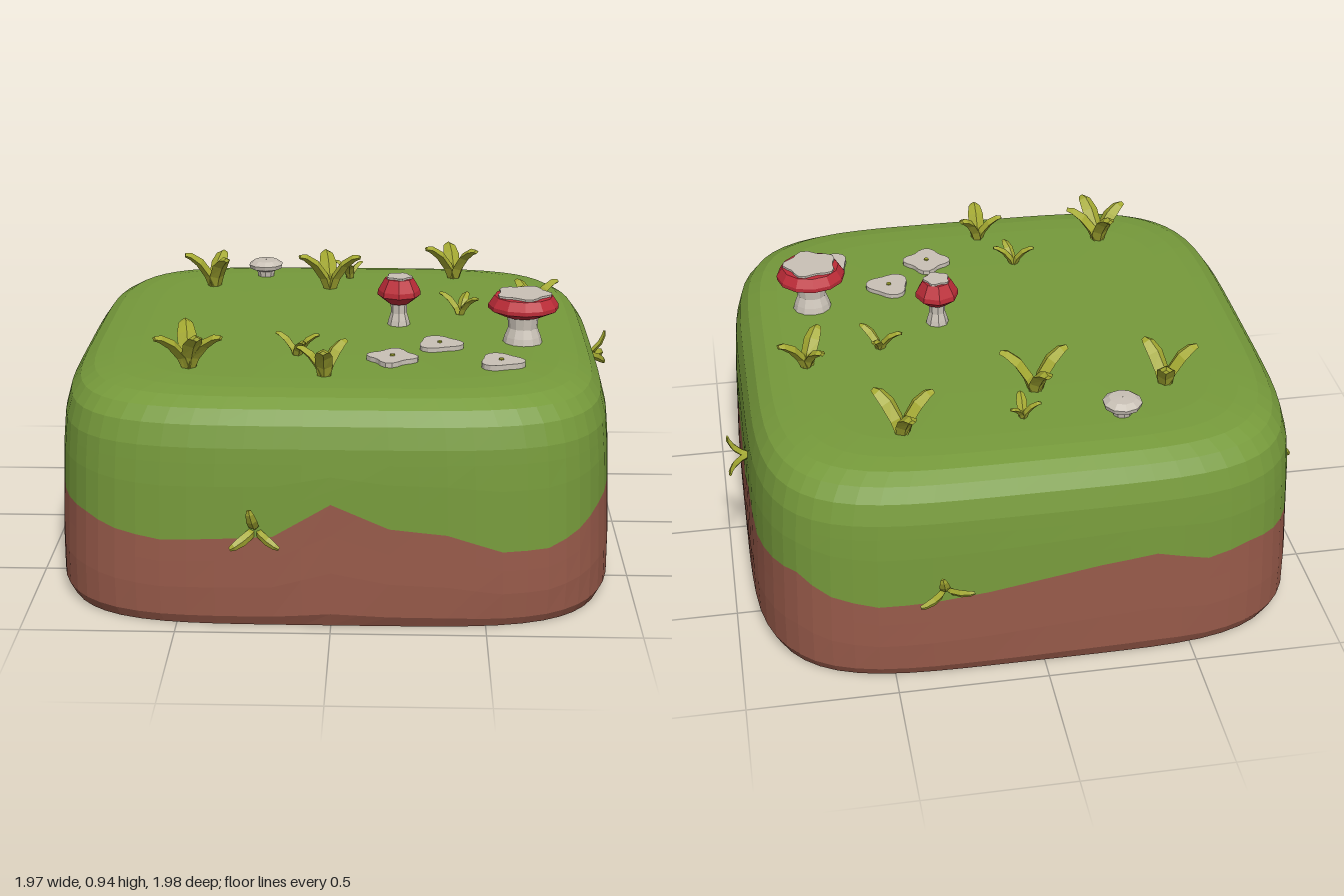
import * as THREE from 'three';

const mat = (name, color, side = THREE.FrontSide) => {
  const m = new THREE.MeshStandardMaterial({ color, side });
  m.name = name;
  return m;
};

// Faceted surface through a list of rings, each a list of [x, y, z]
function loft(rings) {
  const n = rings[0].length, index = [];
  for (let i = 0; i < rings.length - 1; i++) {
    for (let j = 0; j < n; j++) {
      const a = i * n + j, b = i * n + (j + 1) % n;
      index.push(a, b, b + n, a, b + n, a + n);
    }
  }
  const g = new THREE.BufferGeometry();
  g.setAttribute('position', new THREE.Float32BufferAttribute(rings.flat(2), 3));
  g.setIndex(index);
  return facet(g);
}

function facet(g) {
  const f = g.index ? g.toNonIndexed() : g;
  f.computeVertexNormals();
  return f;
}

function mesh(name, geometry, material, parent) {
  const m = new THREE.Mesh(geometry, material);
  m.name = name;
  parent.add(m);
  return m;
}

// Height of the wavy grass edge: front, right, back, left, ten steps each
const EDGE = [
  .34, .31, .29, .30, .31, .42, .34, .32, .26, .26,
  .30, .35, .375, .34, .40, .40, .355, .43, .36, .37,
  .38, .32, .29, .30, .32, .35, .38, .40, .35, .37,
  .36, .36, .33, .34, .38, .44, .44, .38, .36, .35,
];
// Side profile: [height, scale]
const PROFILE = [
  [0, .98], [.04, 1], [.15, 1], [.3, .993], [.5, .985], [.6, .975], [.67, .955],
  [.715, .922], [.742, .875], [.754, .81], [.76, .72], [.763, .45], [.764, .001],
];

function scaleAt(y) {
  const k = Math.max(1, PROFILE.findIndex(p => p[0] >= y));
  const [y0, s0] = PROFILE[k - 1], [y1, s1] = PROFILE[k];
  return s0 + (s1 - s0) * (y - y0) / (y1 - y0);
}

// Rounded square outline, counterclockwise from above
const STEPS = 20;
const outline = [];
for (let side = 0; side < 4; side++) {
  for (let i = 0; i < STEPS; i++) {
    const s = -1 + 2 * i / STEPS;
    const r = Math.pow(Math.pow(Math.abs(s), 4.6) + 1, -1 / 4.6);
    const [x, z] = [[s, 1], [1, -s], [-s, -1], [-1, s]][side];
    const e = side * 10 + i / 2, k = Math.floor(e), f = e - k;
    const h = EDGE[k] * (1 - f) + EDGE[(k + 1) % 40] * f;
    outline.push({ x: x * r * .938, z: z * r * .945, h });
  }
}
const ring = (yOf, scale) => outline.map(p => {
  const y = yOf(p), s = scale ?? scaleAt(y);
  return [p.x * s, y, p.z * s + .01];
});

function buildBlock(root, grass, dirt) {
  const band = [0, .04 / .35, .45, .75, 1].map(f => ring(p => p.h * f));
  mesh('dirtSides', loft(band), dirt, root);
  const turf = [0, .35, .7, 1].map(f => ring(p => p.h + (.55 - p.h) * f));
  for (const [y, s] of PROFILE.slice(5)) turf.push(ring(() => y, s));
  mesh('grassTop', loft(turf), grass, root);
}

// One thick leaf that rises and bends outward along +x
function bladeGeometry(length, height) {
  const stations = [
    [0, -.2, .022, .014], [.2, .35, .03, .018], [.5, .75, .032, .017],
    [.82, .97, .024, .013], [1, 1, .013, .008], [1.0, 1, .0005, .0005],
  ];
  const k = Math.min(1, height / .11);
  return loft(stations.map(([o, u, w, t], i) => {
    const a = stations[Math.max(0, i - 1)], b = stations[Math.min(5, i + 1)];
    const d = new THREE.Vector2((b[0] - a[0]) * length, (b[1] - a[1]) * height).normalize();
    const nx = -d.y * t * k, ny = d.x * t * k, x = o * length, y = u * height;
    return [[x + nx, y + ny, 0], [x, y, w * k], [x - nx, y - ny, 0], [x, y, -w * k]];
  }));
}

// Leaves fan out at the given angles, in degrees from +x towards +z
function tuft(name, length, height, angles, material, root) {
  const g = new THREE.Group();
  g.name = name;
  angles.forEach((a, i) => {
    const blade = mesh('blade', bladeGeometry(length, height * (1 - .12 * (i % 2))), material, g);
    blade.rotation.y = -a * Math.PI / 180;
  });
  root.add(g);
  return g;
}

// Flat lobed disc lying on y = 0
function lobedDisc(radius, lobes, wobble, depth, points = 24) {
  const pts = [];
  for (let i = 0; i < points; i++) {
    const a = i / points * Math.PI * 2;
    const r = radius * (1 + wobble * Math.cos(lobes * a + .6));
    pts.push(new THREE.Vector2(r * Math.cos(a), r * Math.sin(a)));
  }
  const g = new THREE.ExtrudeGeometry(new THREE.Shape(pts), { depth, bevelEnabled: false });
  return facet(g.rotateX(-Math.PI / 2));
}

function lathe(points, sides) {
  return facet(new THREE.LatheGeometry(points.map(p => new THREE.Vector2(...p)), sides));
}

export function createModel() {
  const root = new THREE.Group();
  root.name = 'grassBlock';
  const grass = mat('grass green', 0x769a3b, THREE.DoubleSide);
  const dirt = mat('dirt brown', 0x965949, THREE.DoubleSide);
  const leaf = mat('leaf yellow green', 0xa5aa32, THREE.DoubleSide);
  const red = mat('mushroom red', 0xbd2c38, THREE.DoubleSide);
  const pale = mat('pale grey', 0xc9c1b6, THREE.DoubleSide);
  const TOP = .762;

  buildBlock(root, grass, dirt);

  // Tufts on top: x, z, leaf length, height, leaf angles
  const tufts = [
    [-.49, -.46, .11, .12, [170, -75, 60]],
    [-.05, -.43, .12, .13, [160, -100, 20]],
    [.02, -.59, .06, .06, [200, -40, 90]],
    [.42, -.61, .115, .12, [160, -100, 45]],
    [.69, -.15, .10, .10, [120, -120, -20]],
    [.43, -.08, .08, .07, [205, -70, 40]],
    [-.13, .44, .075, .07, [200, 70, 0]],
    [-.48, .58, .12, .125, [-100, 150, 70, 20]],
    [-.03, .66, .09, .10, [90, 190, -40]],
  ];
  for (const [x, z, length, height, angles] of tufts) {
    tuft('grassTuft', length, height, angles, leaf, root).position.set(x, TOP, z);
  }

  // Tufts growing out of the four sides: position and outward direction
  const sideTufts = [
    [-.24, .33, .935, 0, 0, 1, [-100, 30, 150]],
    [.92, .54, -.33, 1, 0, 0, [-80, 90, 190]],
    [.33, .34, -.915, 0, 0, -1, [-10, 170, 80]],
    [-.925, .32, -.28, -1, 0, 0, [-70, 80, 10]],
  ];
  for (const [x, y, z, nx, ny, nz, angles] of sideTufts) {
    const g = tuft('sideTuft', .09, .06, angles, leaf, root);
    g.position.set(x, y, z);
    g.quaternion.setFromUnitVectors(new THREE.Vector3(0, 1, 0), new THREE.Vector3(nx, ny, nz));
  }

  // Mushrooms: stem and cap profiles, and a pale patch on the cap
  const mushrooms = [
    { name: 'smallMushroom', x: .21, z: .06, sides: 8, patch: .043, patchY: .171,
      stem: [[.045, -.02], [.036, .02], [.028, .045], [.03, .10]],
      cap: [[.001, .08], [.038, .08], [.076, .11], [.074, .128], [.05, .17], [.001, .173]] },
    { name: 'largeMushroom', x: .635, z: .25, sides: 12, patch: .088, patchY: .165,
      stem: [[.072, -.02], [.062, .02], [.05, .05], [.055, .11]],
      cap: [[.001, .092], [.065, .092], [.12, .118], [.12, .132], [.1, .162], [.001, .166]] },
  ];
  for (const m of mushrooms) {
    const g = new THREE.Group();
    g.name = m.name;
    g.position.set(m.x, TOP, m.z);
    mesh('stem', lathe(m.stem, m.sides), pale, g);
    mesh('cap', lathe(m.cap, m.sides), red, g);
    mesh('capPatch', lobedDisc(m.patch, 5, .12, .007), pale, g).position.y = m.patchY - .001;
    root.add(g);
  }

  // Flat pale flowers with a tiny centre
  for (const [x, z, r, lobes] of [[.35, .33, .072, 3], [.19, .49, .076, 4], [.55, .525, .07, 3]]) {
    mesh('flower', lobedDisc(r, lobes, .16, .018), pale, root).position.set(x, TOP - .002, z);
    mesh('flowerCentre', facet(new THREE.CylinderGeometry(.009, .009, .005, 6)), leaf, root)
      .position.set(x, TOP + .018, z);
  }

  // Rounded pale flower bud
  const bud = [[.03, -.01], [.035, .02], [.062, .03], [.066, .045], [.045, .06], [.001, .062]];
  mesh('flowerBud', lathe(bud, 10), pale, root).position.set(-.305, TOP, -.62);
  return root;
}
